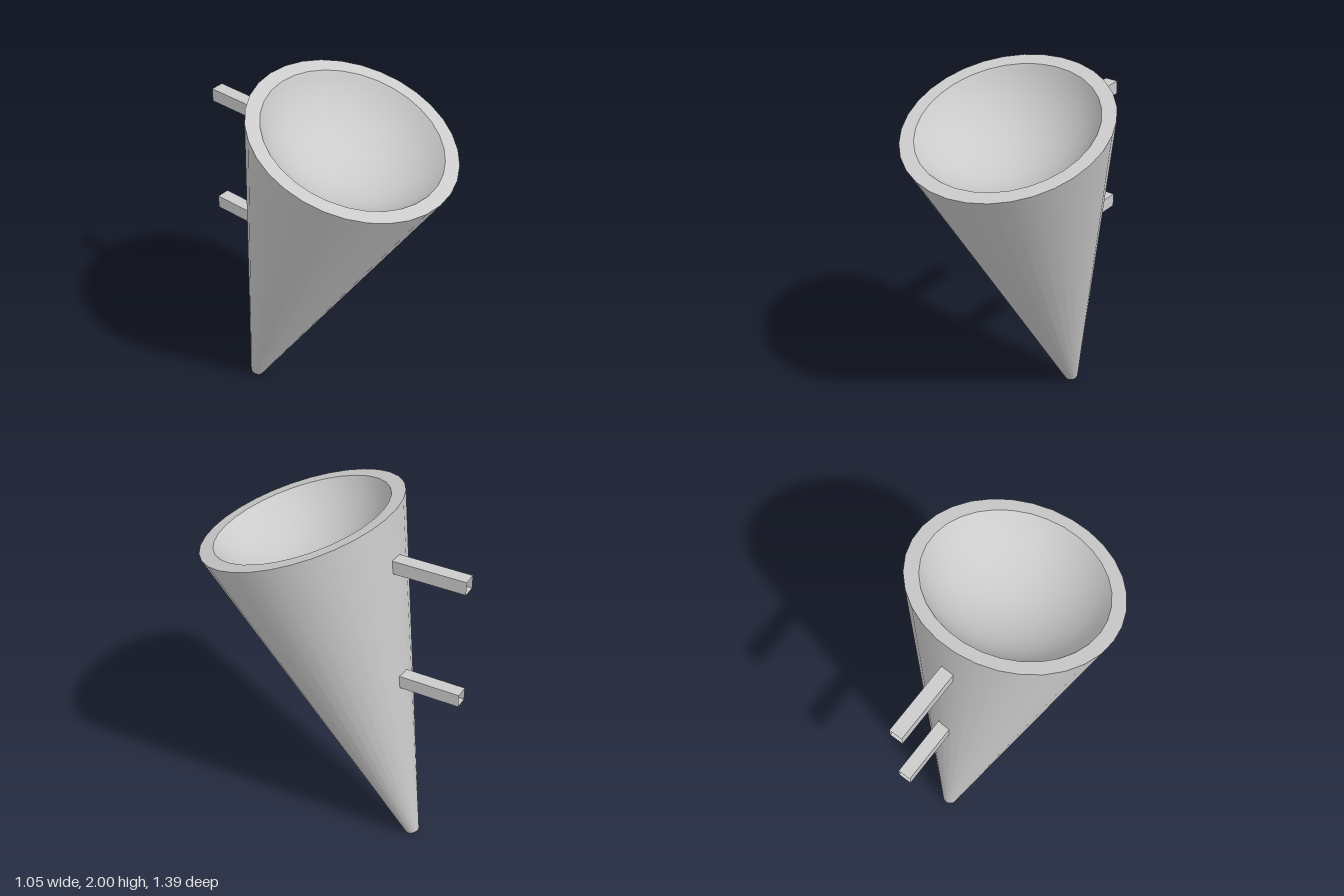
import * as THREE from 'three';

const SIDES = 32;

export function createModel() {
  const model = new THREE.Group();
  const grey = new THREE.MeshStandardMaterial({ color: 0xcccccc });
  const thin = new THREE.MeshStandardMaterial({
    color: 0xcccccc, flatShading: true, side: THREE.DoubleSide,
  });

  // Leaning cone, built upright about its own axis and then tilted
  const foot = new THREE.Vector3(-0.055, 0.013, -0.44);
  const mouth = new THREE.Vector3(0, 1.825, 0.202);
  const axis = mouth.clone().sub(foot);
  const height = axis.length();
  const footRadius = 0.037, mouthRadius = 0.526, bowlRadius = 0.454;

  const cone = new THREE.Group();
  cone.name = 'cone';
  cone.position.copy(foot);
  cone.quaternion.setFromUnitVectors(new THREE.Vector3(0, 1, 0), axis.normalize());
  cone.rotateY(0.077);
  model.add(cone);

  const turned = (name, points) => {
    const profile = points.map(([r, y]) => new THREE.Vector2(r, y));
    const mesh = new THREE.Mesh(new THREE.LatheGeometry(profile, SIDES), grey);
    mesh.name = name;
    cone.add(mesh);
  };

  turned('tip', [[0, 0], [footRadius, 0]]);
  turned('outerWall', [[footRadius, 0], [mouthRadius, height]]);
  turned('rim', [[mouthRadius, height], [bowlRadius, height]]);

  // Shallow spherical hollow below the rim
  const bowl = [];
  const halfAngle = 1.0, steps = 16;
  const sphereRadius = bowlRadius / Math.sin(halfAngle);
  for (let i = steps; i >= 0; i--) {
    const a = halfAngle * i / steps;
    bowl.push([
      sphereRadius * Math.sin(a),
      height + sphereRadius * (Math.cos(halfAngle) - Math.cos(a)),
    ]);
  }
  turned('bowl', bowl);

  // Two open-ended square tubes sticking out of the back
  const tubeSize = 0.07, tubeBack = -0.695;
  for (const [name, y, front] of [['upperPeg', 1.726, -0.3], ['lowerPeg', 1.066, -0.355]]) {
    const length = front - tubeBack;
    const geometry = new THREE.CylinderGeometry(
      tubeSize / Math.SQRT2, tubeSize / Math.SQRT2, length, 4, 1, true);
    geometry.rotateY(Math.PI / 4).rotateX(Math.PI / 2);
    const peg = new THREE.Mesh(geometry, thin);
    peg.name = name;
    peg.position.set(-0.006, y, (front + tubeBack) / 2);
    peg.rotation.y = 0.02;
    model.add(peg);
  }

  return model;
}
